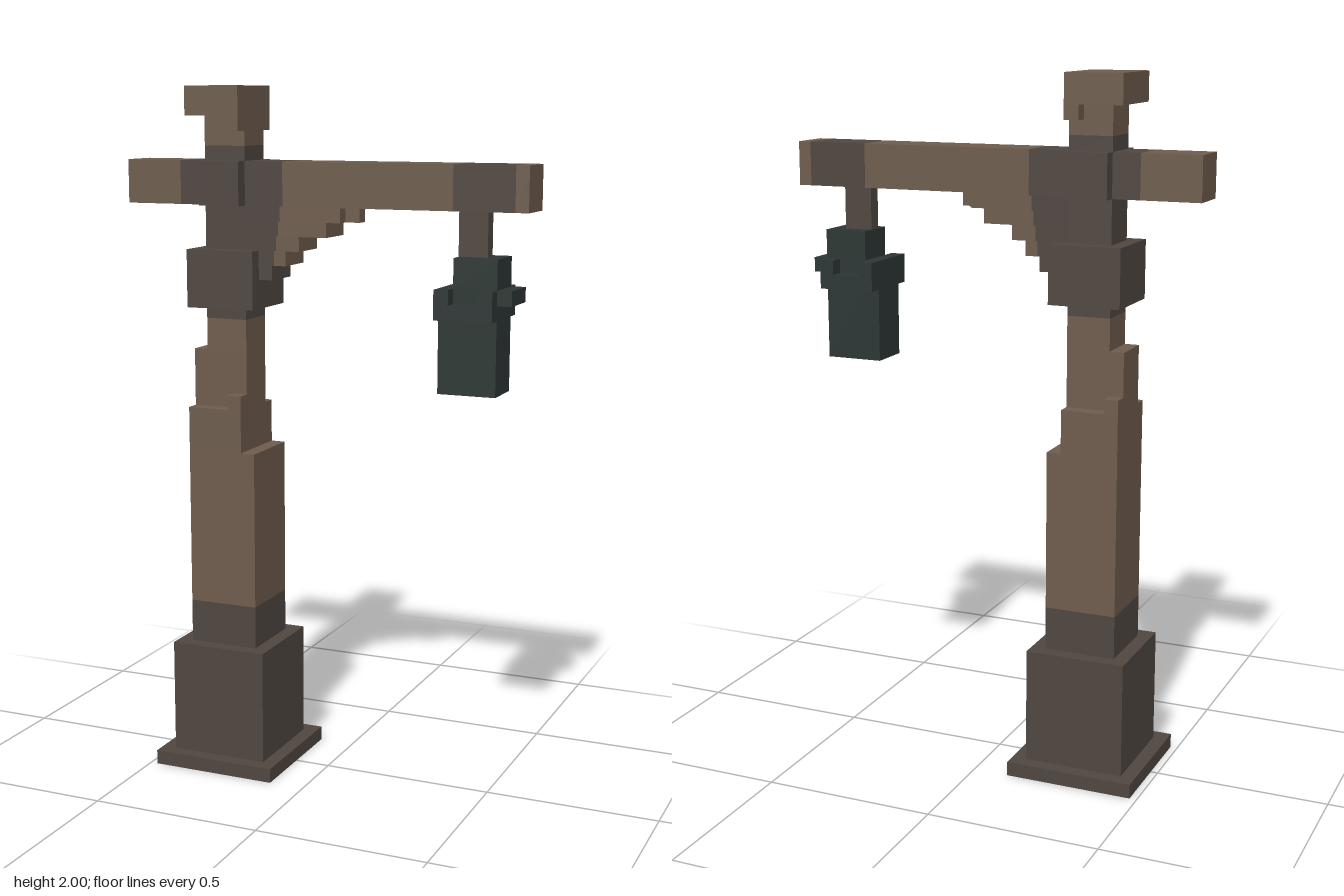
import * as THREE from 'three';

const V = 2 / 48; // edge of one block unit

export function createModel() {
  const root = new THREE.Group();
  root.name = 'lampPost';
  const wood = new THREE.MeshStandardMaterial({ color: 0x6e5c4d });
  wood.name = 'wood';
  const darkWood = new THREE.MeshStandardMaterial({ color: 0x4f4640 });
  darkWood.name = 'darkWood';
  const iron = new THREE.MeshStandardMaterial({ color: 0x2c3634 });
  iron.name = 'iron';

  // Box from block coordinates: x from the left end of the beam, y from the ground, z from the middle
  function box(name, mat, x0, x1, y0, y1, z0, z1) {
    const geo = new THREE.BoxGeometry((x1 - x0) * V, (y1 - y0) * V, (z1 - z0) * V);
    const mesh = new THREE.Mesh(geo, mat);
    mesh.position.set(((x0 + x1) / 2 - 14.5) * V, ((y0 + y1) / 2) * V, ((z0 + z1) / 2) * V);
    mesh.name = name;
    root.add(mesh);
  }
  const mid = (name, mat, x0, x1, y0, y1, half) => box(name, mat, x0, x1, y0, y1, -half, half);

  // Foot and lower post
  mid('footSlab', darkWood, 3, 12, 0, 1, 4.5);
  mid('plinth', darkWood, 4, 11, 1, 9, 3.5);
  mid('postFoot', darkWood, 5, 10, 9, 12, 2.5);
  mid('lowerPost', wood, 5, 10, 12, 23, 2.5);

  // Worn upper post with uneven steps
  mid('upperPost', wood, 5, 9, 23, 26, 2.5);
  mid('postStep', wood, 5, 9, 26, 30, 1.5);
  box('frontChip', wood, 8, 9, 26, 27, 1.5, 2.5);
  box('backChip', wood, 5, 6, 26, 27, -2.5, -1.5);
  mid('postNeck', wood, 6, 9, 30, 32.2, 1.5);
  mid('postNeckTop', darkWood, 6, 9, 32.2, 33, 1.5);
  mid('collar', darkWood, 5, 10, 33, 37, 2.5);
  mid('postCore', darkWood, 6, 9, 37, 40, 1.5);

  // Cross beam in bands of two colours
  const bands = [[0, 4.1, wood], [4.1, 11.8, darkWood], [11.8, 23.9, wood],
    [23.9, 28.1, darkWood], [28.1, 29, wood]];
  bands.forEach(([a, b, mat]) => mid('crossBeam', mat, a, b, 40, 43, 1.5));
  mid('beamJoint', darkWood, 6, 9, 40, 43, 2.5);

  // Stepped brace under the beam, dark next to the post
  [11, 12, 13, 15, 16].forEach((end, i) => {
    const split = Math.min(end, 11 + i * 0.15);
    mid('braceRoot', darkWood, i < 2 ? 10 : 9, split, 35 + i, 36 + i, 1.5);
    if (end > split) mid('braceStep', wood, split, end, 35 + i, 36 + i, 1.5);
  });
  mid('braceTip', wood, 16, 17, 39, 40, 0.5);

  // Post head
  mid('headNeckBase', darkWood, 6, 9, 43, 44, 1.5);
  mid('headNeck', wood, 6, 9, 44, 46, 1.5);
  mid('head', wood, 5, 9, 46, 48, 2.5);
  for (const s of [1, -1]) {
    box('headChip', wood, 8, 9, 45, 46, s > 0 ? 1.5 : -2.5, s > 0 ? 2.5 : -1.5);
  }

  // Hanging lantern
  mid('hanger', darkWood, 24, 26, 37, 40, 0.5);
  mid('lanternCap', iron, 24, 27, 35, 37, 1.5);
  mid('lanternBody', iron, 23, 27, 28, 35, 1.5);
  mid('lanternLug', iron, 27, 28, 34, 35, 1.5);
  for (const s of [1, -1]) {
    const z0 = s > 0 ? 1.5 : -2.5;
    box('lanternRim', iron, 23, 27, 33, 34, z0, z0 + 1);
    for (const x of [23, 26]) box('lanternRimCorner', iron, x, x + 1, 34, 35, z0, z0 + 1);
  }
  return root;
}
